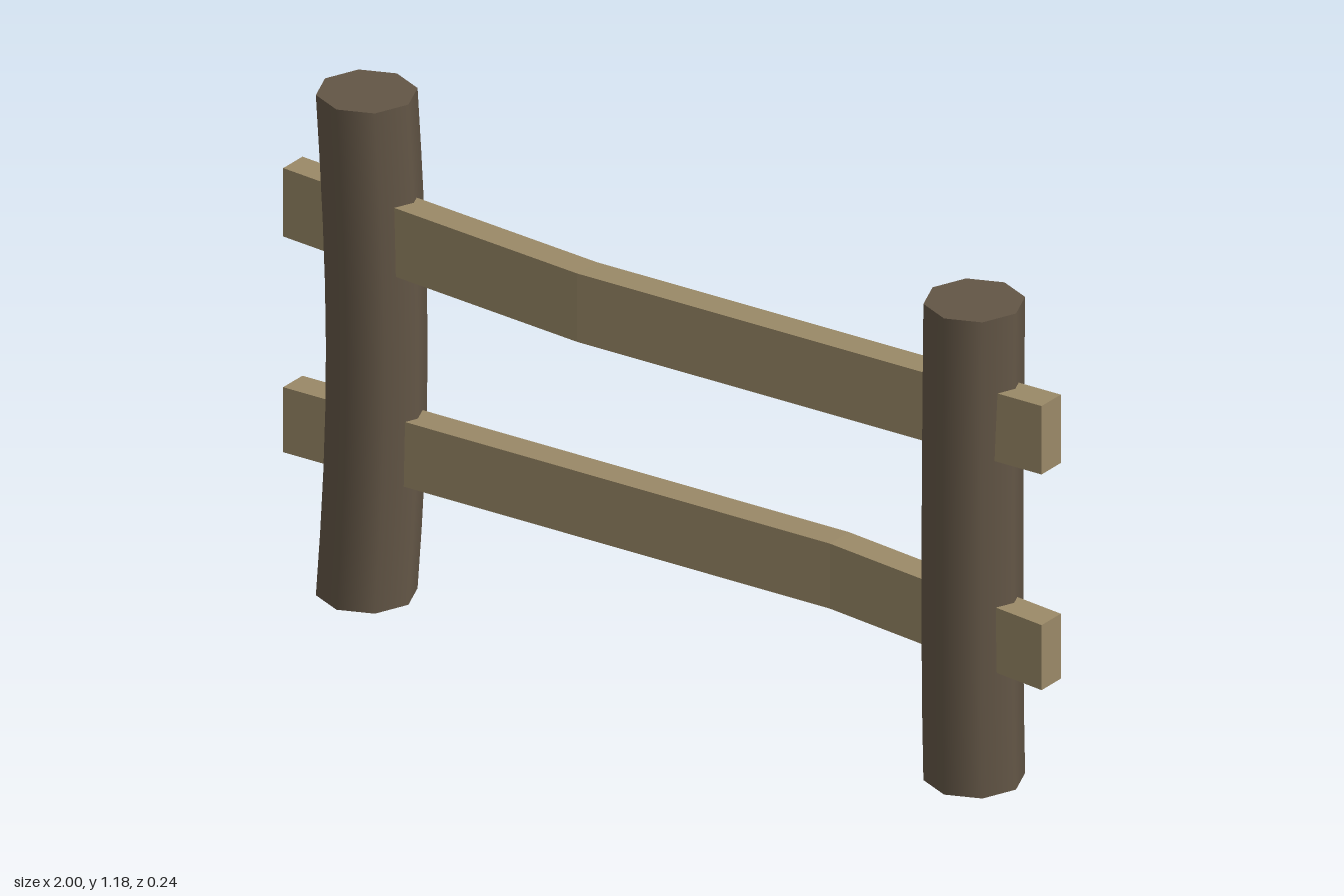
import * as THREE from 'three';

const postWood = new THREE.MeshStandardMaterial({ color: 0x635646 });
postWood.name = 'dark post wood';
const railWood = new THREE.MeshStandardMaterial({ color: 0x9a8967 });
railWood.name = 'light rail wood';

// Eight-sided log, bowed sideways between its straight ends
function makePost(name, x, z, bottom, top, bowX, bowZ, skew) {
  const height = top - bottom;
  const geometry = new THREE.CylinderGeometry(0.11, 0.11, height, 8, 8);
  geometry.translate(0, height / 2, 0);
  const p = geometry.attributes.position;
  for (let i = 0; i < p.count; i++) {
    const t = Math.min(1, Math.max(0, p.getY(i) / height));
    const bow = Math.sin(Math.PI * Math.pow(t, skew));
    p.setX(i, p.getX(i) + bowX * bow);
    p.setZ(i, p.getZ(i) + bowZ * bow);
  }
  const post = new THREE.Mesh(geometry, postWood);
  post.name = name;
  post.position.set(x, bottom, z);
  return post;
}

// Plank with a single kink at kinkX, pushed by (kinkY, kinkZ)
function makeRail(name, y, height, kinkX, kinkY, kinkZ) {
  const geometry = new THREE.BoxGeometry(2, height, 0.07, 2, 1, 1).toNonIndexed();
  const p = geometry.attributes.position;
  for (let i = 0; i < p.count; i++) {
    if (Math.abs(p.getX(i)) < 0.5) {
      p.setXYZ(i, kinkX, p.getY(i) + kinkY, p.getZ(i) + kinkZ);
    }
  }
  geometry.computeVertexNormals();
  const rail = new THREE.Mesh(geometry, railWood);
  rail.name = name;
  rail.position.set(0, y, 0.003);
  return rail;
}

export function createModel() {
  const fence = new THREE.Group();
  fence.name = 'fence';
  fence.add(
    makePost('rightPost', -0.8, 0.01, 0, 1.185, 0.02, -0.009, 0.95),
    makePost('leftPost', 0.8, 0.007, 0.012, 1.14, -0.018, -0.018, 0.75),
    makeRail('upperRail', 0.877, 0.162, -0.2, -0.011, 0.034),
    makeRail('lowerRail', 0.362, 0.154, 0.42, 0.018, -0.03),
  );
  return fence;
}
